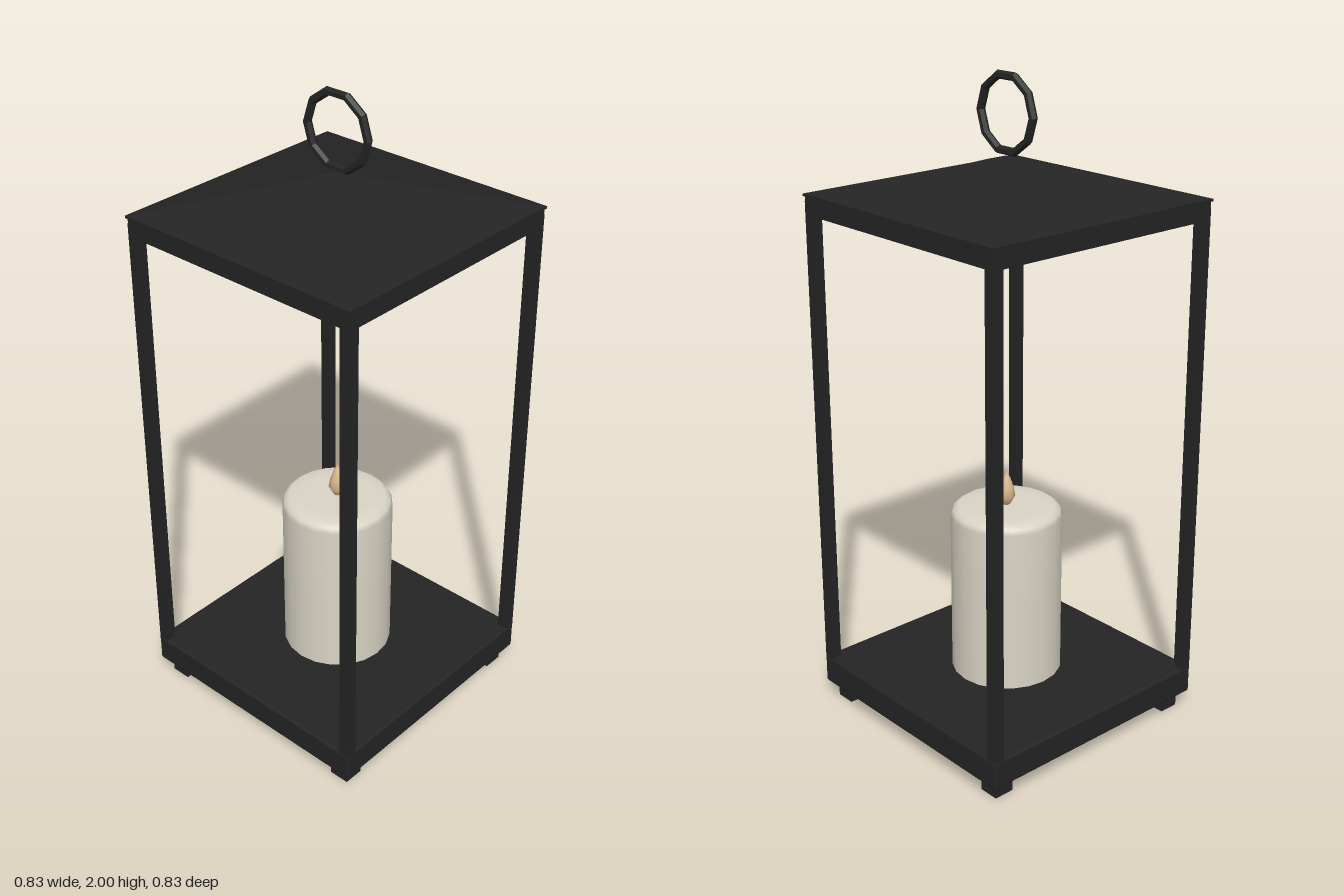
import * as THREE from 'three';
import { RoundedBoxGeometry } from 'three/addons/geometries/RoundedBoxGeometry.js';

const metal = new THREE.MeshStandardMaterial({ color: 0x242425 });
const metalFlat = new THREE.MeshStandardMaterial({ color: 0x242425, flatShading: true });
const wax = new THREE.MeshStandardMaterial({ color: 0xd9d4c5 });
const flameMat = new THREE.MeshStandardMaterial({ color: 0xd9b98c });

const lathe = (points, sides) =>
  new THREE.LatheGeometry(points.map(([r, y]) => new THREE.Vector2(r, y)), sides);

export function createModel() {
  const model = new THREE.Group();
  const add = (name, geometry, material, x = 0, y = 0, z = 0) => {
    const mesh = new THREE.Mesh(geometry, material);
    mesh.name = name;
    mesh.position.set(x, y, z);
    model.add(mesh);
    return mesh;
  };
  const box = (name, w, h, d, x, y, z) => add(name, new THREE.BoxGeometry(w, h, d), metal, x, y, z);

  // Base tray with softened edges
  add('base', new RoundedBoxGeometry(0.826, 0.09, 0.826, 2, 0.008), metal, 0, 0.098, 0);

  // Feet and corner posts
  for (const sx of [-1, 1]) {
    for (const sz of [-1, 1]) {
      box('foot', 0.064, 0.058, 0.064, sx * 0.352, 0.029, sz * 0.352);
      box('post', 0.034, 1.5, 0.034, sx * 0.394, 0.88, sz * 0.394);
    }
  }

  // Rails under the roof
  for (const s of [-1, 1]) {
    box('roofRailFrontBack', 0.82, 0.06, 0.034, 0, 1.62, s * 0.393);
    box('roofRailSide', 0.034, 0.06, 0.752, s * 0.393, 1.62, 0);
  }

  // Four-sided roof with a softened apex and a closed underside
  const q = Math.SQRT2;
  const roof = lathe([[0, 1.645], [0.415 * q, 1.645], [0.415 * q, 1.652], [0.065 * q, 1.749],
    [0.04 * q, 1.758], [0.018 * q, 1.764], [0, 1.766]], 4);
  roof.rotateY(Math.PI / 4);
  add('roof', roof, metalFlat);

  // Hanging ring, a faceted hoop standing front to back
  const ring = new THREE.TorusGeometry(0.11, 0.013, 6, 10);
  ring.rotateY(Math.PI / 2);
  add('hangingRing', ring, metalFlat, 0, 1.887, 0);

  // Candle with chamfered rim
  add('candle', lathe([[0, 0.14], [0.173, 0.14], [0.173, 0.14], [0.173, 0.4], [0.173, 0.662],
    [0.166, 0.678], [0.15, 0.689], [0.11, 0.69], [0, 0.69]], 20), wax);

  // Teardrop flame
  add('flame', lathe([[0, 0.687], [0.012, 0.694], [0.027, 0.721], [0.022, 0.751],
    [0.011, 0.782], [0, 0.802]], 8), flameMat);

  return model;
}
